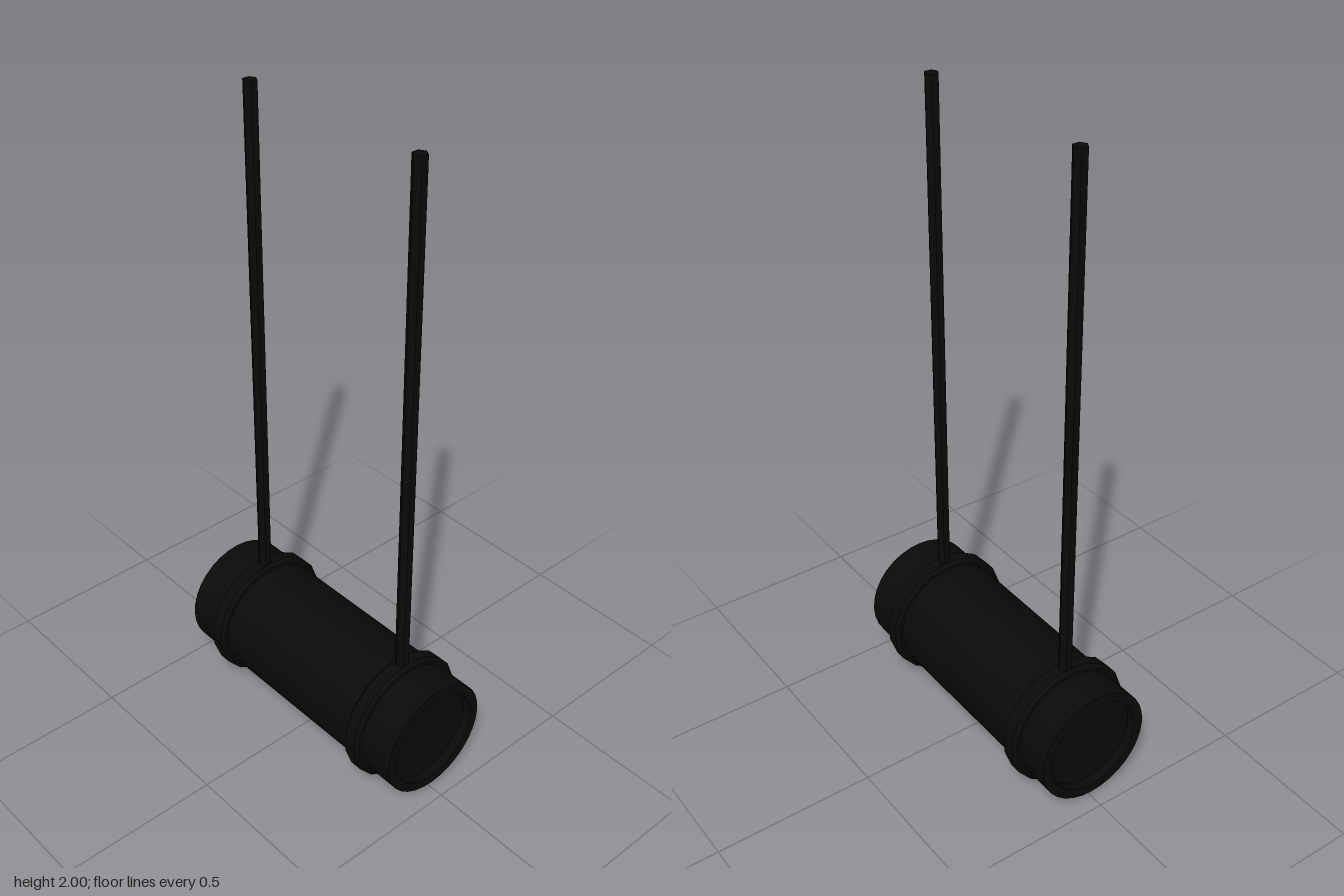
import * as THREE from 'three';
import { toCreasedNormals } from 'three/addons/utils/BufferGeometryUtils.js';

const AXIS_Y = 0.205;
const STRAP_X = 0.313;

// Revolves [radius, offset] points around the x axis
function turned(points, sides) {
  const profile = points.map(([r, a]) => new THREE.Vector2(r, a));
  const lathe = new THREE.LatheGeometry(profile, sides, Math.PI / 2);
  return toCreasedNormals(lathe.rotateZ(Math.PI / 2), 0.6);
}

export function createModel() {
  const model = new THREE.Group();
  model.name = 'hangingCylinder';
  const black = new THREE.MeshStandardMaterial({ color: 0x0a0a0a });

  const add = (name, geometry, x, y) => {
    const mesh = new THREE.Mesh(geometry, black);
    mesh.name = name;
    mesh.position.set(x, y, 0);
    model.add(mesh);
  };

  // Horizontal body with a raised lip around each recessed end
  const half = 0.457, floor = half - 0.03, lip = 0.153, radius = 0.183;
  add('body', turned([
    [0, -floor], [lip, -floor], [lip, -half], [radius, -half],
    [radius, half], [lip, half], [lip, floor], [0, floor],
  ], 32), 0, AXIS_Y);

  // Bevelled clamp rings and the rods that hang from above
  const ring = turned([
    [0.17, -0.028], [0.194, -0.028], [0.205, -0.019],
    [0.205, 0.019], [0.194, 0.028], [0.17, 0.028],
  ], 18);
  const rodBottom = 0.385, rodLength = 2 - rodBottom;
  const rod = toCreasedNormals(new THREE.CylinderGeometry(0.021, 0.021, rodLength, 6), 0.6);
  for (const [side, s] of [['left', 1], ['right', -1]]) {
    add(side + 'ClampRing', ring, s * STRAP_X, AXIS_Y);
    add(side + 'Rod', rod, s * STRAP_X, rodBottom + rodLength / 2);
  }
  return model;
}
